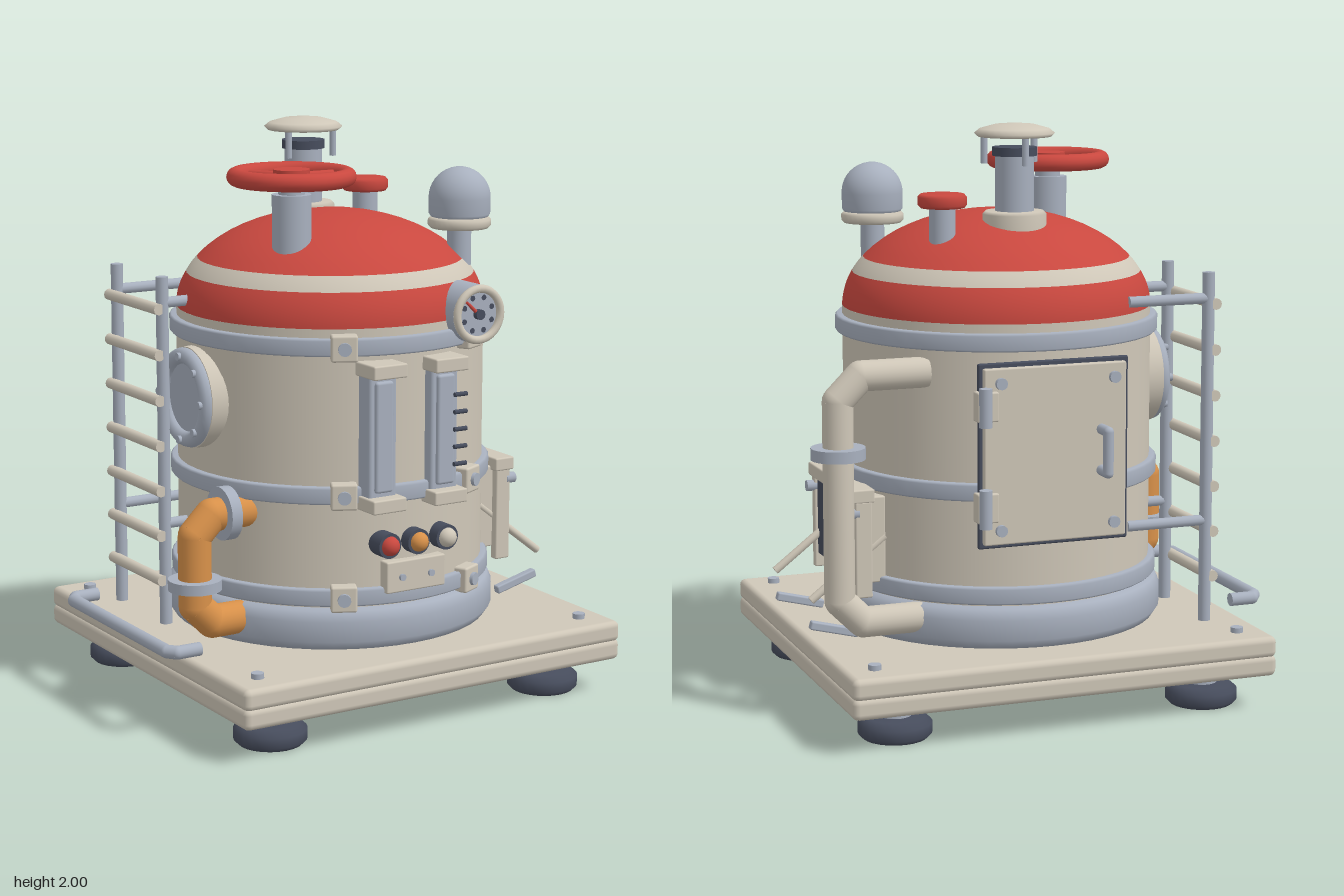
import * as THREE from 'three';
import { RoundedBoxGeometry } from 'three/addons/geometries/RoundedBoxGeometry.js';

const paint = (name, color) => Object.assign(new THREE.MeshStandardMaterial({ color }), { name });

export function createModel() {
  const cream = paint('cream', 0xcfc7b8), steel = paint('steel', 0xa8b0be), red = paint('red', 0xc9483f),
    orange = paint('orange', 0xd8914a), slate = paint('slate', 0x474d5d);
  const model = new THREE.Group();
  model.name = 'boilerMachine';
  const CX = 0.04; // boiler axis
  const V = (x, y, z) => new THREE.Vector3(x, y, z);

  const add = (name, geo, mat, x = 0, y = 0, z = 0) => {
    const m = new THREE.Mesh(geo, mat);
    m.name = name;
    m.position.set(x, y, z);
    model.add(m);
    return m;
  };
  // Box given by its limits on each axis
  const box = (name, mat, [x0, x1], [y0, y1], [z0, z1], r = 0.006) =>
    add(name, new RoundedBoxGeometry(x1 - x0, y1 - y0, z1 - z0, 2, r), mat, (x0 + x1) / 2, (y0 + y1) / 2, (z0 + z1) / 2);
  // Cylinder between two points
  const rod = (name, mat, a, b, r, r2 = r, sides = 24) => {
    const d = b.clone().sub(a);
    const m = add(name, new THREE.CylinderGeometry(r2, r, d.length(), sides), mat);
    m.position.copy(a).addScaledVector(d, 0.5);
    m.quaternion.setFromUnitVectors(V(0, 1, 0), d.normalize());
    return m;
  };
  const post = (name, mat, x, z, y0, y1, r, r2 = r, sides = 32) => rod(name, mat, V(x, y0, z), V(x, y1, z), r, r2, sides);
  const lathe = (name, mat, pts, x, z, seg = 48) =>
    add(name, new THREE.LatheGeometry(pts.map(p => new THREE.Vector2(...p)), seg), mat, x, 0, z);
  // Mitred pipe with ball joints
  const pipe = (name, mat, pts, r) => pts.forEach((p, i) => {
    if (i) rod(name, mat, pts[i - 1], p, r);
    if (i && i < pts.length - 1) add(name + 'Joint', new THREE.SphereGeometry(r, 20, 12), mat, p.x, p.y, p.z);
  });

  // Base plate, corner bolts and feet
  box('basePlateLower', cream, [-0.72, 0.8], [0.12, 0.195], [-0.725, 0.725], 0.022);
  box('basePlateUpper', cream, [-0.72, 0.8], [0.185, 0.26], [-0.725, 0.725], 0.022);
  for (const sx of [-1, 1]) for (const sz of [-1, 1]) {
    post('plateBolt', steel, CX + sx * 0.655, sz * 0.617, 0.25, 0.278, 0.022, 0.022, 12);
    const x = CX + sx * 0.56, z = sz * 0.535;
    lathe('foot', slate, [[0, 0], [0.11, 0], [0.125, 0.015], [0.125, 0.05], [0.1, 0.072], [0, 0.075]], x, z, 24);
    post('footStem', steel, x, z, 0.07, 0.13, 0.055);
  }

  // Boiler body, plinth and bands
  lathe('plinth', steel, [[0.5, 0.255], [0.56, 0.26], [0.58, 0.29], [0.58, 0.36], [0.565, 0.395], [0.53, 0.405]], CX, 0);
  post('boilerBody', cream, CX, 0, 0.39, 1.36, 0.54, 0.54, 48);
  const bands = [0.44, 0.795, 1.3];
  for (const y of bands) {
    lathe('bodyBand', steel, [[0.53, y - 0.03], [0.558, y - 0.03], [0.565, y - 0.023], [0.565, y + 0.023], [0.558, y + 0.03], [0.53, y + 0.03]], CX, 0);
    for (const s of [-1, 1]) {
      const a = s * 0.465, sn = Math.sin(a), cs = Math.cos(a);
      const clamp = add('bandClamp', new RoundedBoxGeometry(0.09, 0.09, 0.06, 2, 0.008), cream, CX + sn * 0.555, y, cs * 0.555);
      clamp.rotation.y = a;
      rod('clampBolt', steel, V(CX + sn * 0.57, y, cs * 0.57), V(CX + sn * 0.597, y, cs * 0.597), 0.023, 0.023, 12);
    }
  }

  // Striped dome
  const dome = (name, mat, t0, t1) => lathe(name, mat,
    Array.from({ length: 11 }, (_, i) => {
      const t = t0 + (t1 - t0) * i / 10;
      return [Math.max(0, 0.54 * Math.cos(t)), 1.357 + 0.335 * Math.sin(t)];
    }), CX, 0);
  dome('domeRim', red, 0, 0.366);
  dome('domeStripe', cream, 0.366, 0.532);
  dome('domeTop', red, 0.532, Math.PI / 2);

  // Vent chimney with rain cap
  const vz = -0.18;
  lathe('ventFlange', cream, [[0.11, 1.6], [0.11, 1.69], [0.1, 1.7], [0, 1.7]], CX, vz, 32);
  post('ventPipe', steel, CX, vz, 1.65, 1.895, 0.066);
  post('ventCollar', slate, CX, vz, 1.888, 1.918, 0.076);
  for (let i = 0; i < 3; i++) {
    const a = i * Math.PI * 2 / 3 + Math.PI / 6, x = CX + 0.105 * Math.cos(a), z = vz + 0.105 * Math.sin(a);
    post('ventStrut', steel, x, z, 1.86, 1.97, 0.012, 0.012, 10);
  }
  lathe('ventCap', cream, [[0, 1.953], [0.125, 1.953], [0.138, 1.965], [0.12, 1.98], [0.07, 1.994], [0, 2]], CX, vz, 32);

  // Handwheel
  const wx = -0.228, wz = 0.19, wy = 1.84;
  post('wheelStem', steel, wx, wz, 1.5, 1.78, 0.067);
  post('wheelNeck', steel, wx, wz, 1.78, 1.82, 0.045);
  post('wheelHub', red, wx, wz, 1.805, 1.865, 0.062);
  add('wheelRim', new THREE.TorusGeometry(0.19, 0.03, 14, 40), red, wx, wy, wz).rotation.x = Math.PI / 2;
  for (let i = 0; i < 6; i++) {
    const a = i * Math.PI / 3;
    rod('wheelSpoke', red, V(wx, wy, wz), V(wx + 0.19 * Math.cos(a), wy, wz + 0.19 * Math.sin(a)), 0.014, 0.014, 10);
  }

  // Beacon lamp
  post('lampStem', steel, 0.41, 0.26, 1.5, 1.64, 0.042);
  lathe('lampFlange', cream, [[0, 1.63], [0.1, 1.63], [0.11, 1.64], [0.11, 1.66], [0.1, 1.67], [0, 1.67]], 0.41, 0.26, 32);
  lathe('lampBulb', steel, [[0.1, 1.67], [0.107, 1.68], ...Array.from({ length: 11 }, (_, i) =>
    [Math.max(0, 0.108 * Math.cos(i * Math.PI / 20)), 1.735 + 0.108 * Math.sin(i * Math.PI / 20)])], 0.41, 0.26, 32);

  // Red relief knob
  post('knobStem', steel, 0.305, -0.19, 1.55, 1.725, 0.045);
  lathe('reliefKnob', red, [[0, 1.72], [0.075, 1.72], [0.084, 1.73], [0.084, 1.757], [0.075, 1.767], [0, 1.767]], 0.305, -0.19, 16);

  // Pressure gauge
  const gx = 0.28, gy = 1.38;
  rod('gaugeBody', steel, V(gx, gy, 0.44), V(gx, gy, 0.565), 0.1, 0.1, 32);
  add('gaugeRim', new THREE.TorusGeometry(0.088, 0.014, 10, 32), cream, gx, gy, 0.572);
  for (let i = 0; i < 8; i++) {
    const a = i * Math.PI / 4 + 0.39;
    add('gaugeTick', new THREE.CircleGeometry(0.01, 10), slate, gx + 0.06 * Math.cos(a), gy + 0.06 * Math.sin(a), 0.568);
  }
  rod('gaugeNeedle', red, V(gx + 0.01, gy - 0.01, 0.572), V(gx - 0.05, gy + 0.045, 0.572), 0.008, 0.005, 8);
  rod('gaugePin', slate, V(gx, gy, 0.56), V(gx, gy, 0.585), 0.018, 0.018, 12);

  // Front level tubes with brackets; the second one has side nubs
  for (const x of [-0.103, 0.143]) {
    box('levelBacking', steel, [x - 0.055, x + 0.055], [0.78, 1.22], [0.5, 0.575], 0.012);
    box('levelSlot', steel, [x - 0.035, x + 0.035], [0.81, 1.19], [0.56, 0.588], 0.01);
    for (const y of [0.772, 1.228])
      box('levelBracket', cream, [x - 0.066, x + 0.066], [y - 0.024, y + 0.024], [0.5, 0.622]);
  }
  for (let i = 0; i < 5; i++)
    rod('levelNub', slate, V(0.165, 0.88 + i * 0.06, 0.6), V(0.215, 0.88 + i * 0.06, 0.6), 0.008, 0.008, 8);

  // Indicator lights and name plate
  [[-0.077, red], [0.039, orange], [0.154, cream]].forEach(([x, mat]) => {
    rod('lightBezel', slate, V(x, 0.622, 0.5), V(x, 0.622, 0.582), 0.044);
    const bulb = add('indicatorLight', new THREE.SphereGeometry(0.034, 20, 10, 0, Math.PI * 2, 0, Math.PI / 2), mat, x, 0.622, 0.58);
    bulb.rotation.x = Math.PI / 2;
  });
  box('infoPlate', cream, [-0.08, 0.157], [0.45, 0.56], [0.5, 0.568]);
  for (const x of [-0.02, 0.097]) rod('plateScrew', steel, V(x, 0.503, 0.56), V(x, 0.503, 0.578), 0.012, 0.012, 10);

  // Rear hatch with hinges, bolts and handle
  box('hatchFrame', cream, [-0.2, 0.285], [0.65, 1.21], [-0.545, -0.4]);
  box('hatchGasket', slate, [-0.225, 0.31], [0.615, 1.24], [-0.558, -0.54]);
  box('hatchDoor', cream, [-0.21, 0.297], [0.63, 1.225], [-0.58, -0.555]);
  for (const x of [-0.165, 0.24]) for (const y of [0.68, 1.175])
    rod('hatchBolt', steel, V(x, y, -0.575), V(x, y, -0.595), 0.02, 0.02, 12);
  for (const y of [0.76, 1.1]) {
    box('hatchHingeLeaf', cream, [0.25, 0.325], [y - 0.05, y + 0.05], [-0.595, -0.545]);
    post('hatchHingePin', steel, 0.3, -0.6, y - 0.065, y + 0.065, 0.022, 0.022, 16);
  }
  pipe('hatchHandle', steel, [V(-0.12, 0.86, -0.57), V(-0.12, 0.86, -0.64), V(-0.12, 1, -0.64), V(-0.12, 1, -0.57)], 0.018);

  // Round side port
  rod('portCollar', cream, V(-0.4, 1.08, 0), V(-0.53, 1.08, 0), 0.18, 0.175, 36);
  add('portRing', new THREE.TorusGeometry(0.145, 0.028, 12, 36), steel, -0.535, 1.08, 0).rotation.y = Math.PI / 2;
  rod('portGlass', steel, V(-0.5, 1.08, 0), V(-0.538, 1.08, 0), 0.13, 0.13, 32);
  for (let i = 0; i < 8; i++) {
    const a = i * Math.PI / 4, y = 1.08 + 0.145 * Math.sin(a), z = 0.145 * Math.cos(a);
    rod('portBolt', steel, V(-0.55, y, z), V(-0.572, y, z), 0.014, 0.014, 10);
  }

  // Ladder
  for (const z of [-0.43, -0.09]) {
    post('ladderRail', steel, -0.578, z, 0.26, 1.49, 0.022, 0.022, 14);
    for (const y of [0.62, 1.4]) rod('ladderArm', steel, V(-0.578, y, z), V(z < -0.2 ? -0.28 : -0.46, y, z), 0.019, 0.019, 12);
  }
  for (let i = 0; i < 7; i++)
    rod('ladderRung', cream, V(-0.6, 0.42 + i * 0.16, -0.45), V(-0.6, 0.42 + i * 0.16, -0.07), 0.02, 0.02, 12);

  // Low side handrail
  pipe('handrail', steel, [V(-0.7, 0.31, -0.385), V(-0.785, 0.31, -0.385), V(-0.808, 0.31, -0.35),
    V(-0.808, 0.31, 0.35), V(-0.785, 0.31, 0.38), V(-0.7, 0.31, 0.38)], 0.023);

  // Outer pipes with chamfered elbows and flanges
  const sidePipe = (name, mat, xIn, xOut, yTop, yLow, z, r, c) => {
    const d = Math.sign(xIn - xOut) * c;
    pipe(name, mat, [V(xIn, yTop, z), V(xOut + d, yTop, z), V(xOut, yTop - c, z),
      V(xOut, yLow + c, z), V(xOut + d, yLow, z), V(xIn, yLow, z)], r);
  };
  const flange = (name, a, b) => rod(name, steel, a, b, 0.092, 0.092, 28);
  sidePipe('orangePipe', orange, -0.42, -0.632, 0.718, 0.345, 0.225, 0.057, 0.065);
  flange('orangePipeFlange', V(-0.632, 0.468, 0.225), V(-0.632, 0.505, 0.225));
  flange('orangePipeWallFlange', V(-0.535, 0.718, 0.225), V(-0.495, 0.718, 0.225));
  sidePipe('creamPipe', cream, 0.42, 0.732, 1.19, 0.35, -0.355, 0.052, 0.08);
  flange('creamPipeFlange', V(0.732, 0.915, -0.355), V(0.732, 0.955, -0.355));

  // Side console with screen, posts, struts and foot pads
  box('consoleBody', cream, [0.53, 0.625], [0.45, 0.75], [-0.235, 0.235]);
  box('consoleScreen', slate, [0.62, 0.634], [0.455, 0.735], [-0.222, 0.232], 0.004);
  box('consoleTop', cream, [0.575, 0.655], [0.735, 0.782], [-0.262, 0.27]);
  for (const s of [-1, 1]) {
    box('consolePost', cream, [0.585, 0.645], [0.405, 0.74], [s * 0.245 - 0.016, s * 0.245 + 0.016]);
    rod('consoleKnob', steel, V(0.63, 0.7, s * 0.245), V(0.67, 0.7, s * 0.245), 0.02, 0.02, 12);
    rod('consoleStrut', cream, V(0.53, 0.61, s * 0.225), V(0.795, 0.405, s * 0.225), 0.014, 0.014, 10);
    const pad = add('consolePad', new RoundedBoxGeometry(0.175, 0.03, 0.03, 2, 0.006), steel, 0.71, 0.295, s * 0.21);
    pad.rotation.z = 0.25;
  }
  return model;
}
